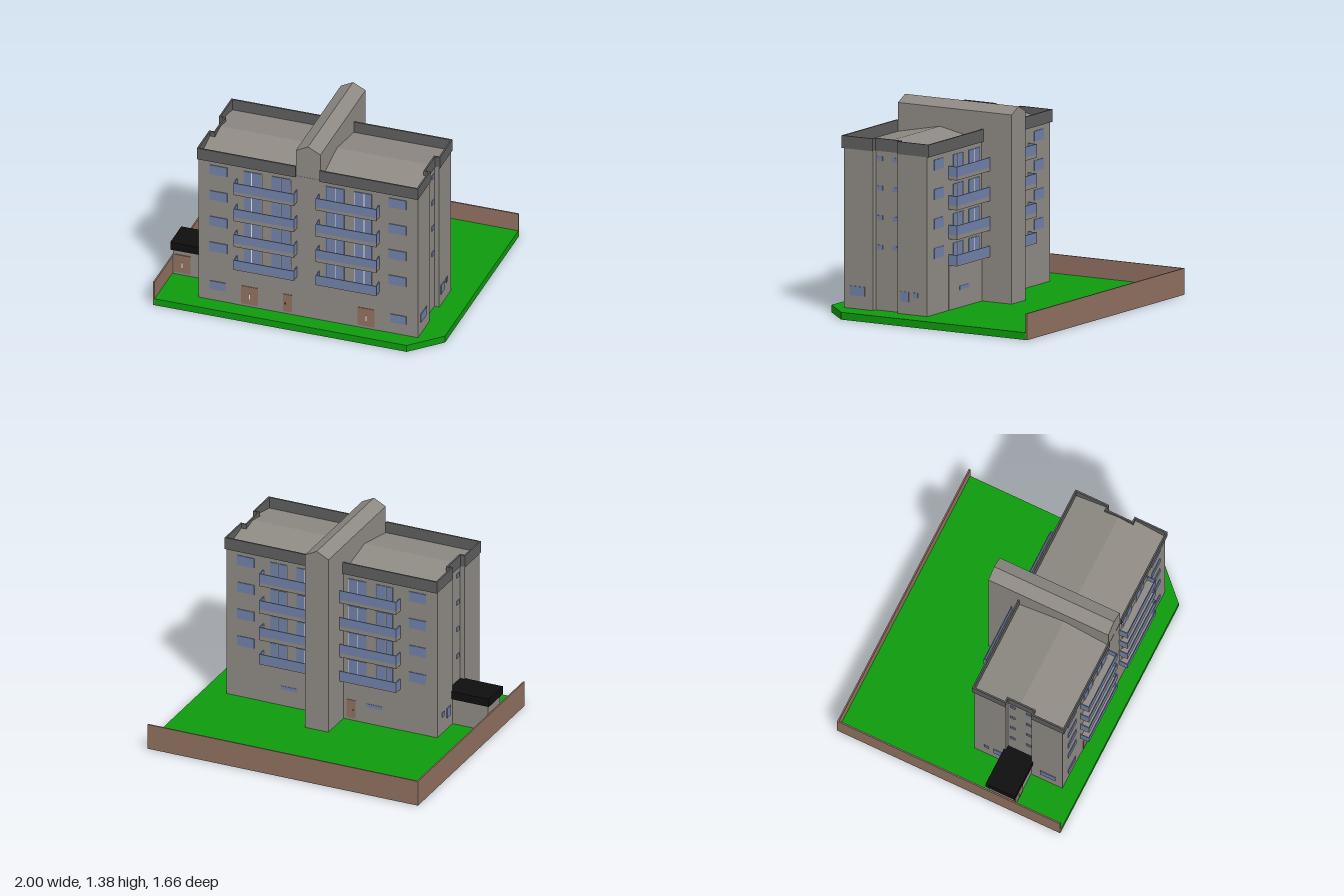
import * as THREE from 'three';

const mat = (name, color, side = THREE.FrontSide) => {
  const m = new THREE.MeshStandardMaterial({ color, side });
  m.name = name;
  return m;
};

export function createModel() {
  const M = {
    wall: mat('wall grey', 0x8e8983),
    parapet: mat('dark grey', 0x5e5e5e),
    brick: mat('brown', 0x8f7060),
    glass: mat('blue glass', 0x7080a8),
    grass: mat('green', 0x0f9b0f),
    black: mat('black', 0x0f0f0f),
    white: mat('white', 0xe8e8e8),
  };
  const model = new THREE.Group();
  model.name = 'apartmentBlock';

  const CX = 0.057;            // mirror plane of the building
  const BACK = 0.055, FRONT = 0.71;

  const add = (name, geo, m) => {
    const mesh = new THREE.Mesh(geo, m);
    mesh.name = name;
    model.add(mesh);
    return mesh;
  };
  // box given by its limits
  const box = (name, m, x0, x1, y0, y1, z0, z1) => {
    const g = new THREE.BoxGeometry(Math.abs(x1 - x0), y1 - y0, z1 - z0);
    g.translate((x0 + x1) / 2, (y0 + y1) / 2, (z0 + z1) / 2);
    return add(name, g, m);
  };
  // vertical prism over a list of [x, z] corners
  const prism = (name, m, pts, y0, y1) => {
    const s = new THREE.Shape(pts.map(([x, z]) => new THREE.Vector2(x, -z)));
    const g = new THREE.ExtrudeGeometry(s, { depth: y1 - y0, bevelEnabled: false });
    g.rotateX(-Math.PI / 2).translate(0, y0, 0);
    return add(name, g, m);
  };

  // plot of lawn with a cut corner, and boundary walls
  prism('lawn', M.grass, [[-0.99, -0.82], [1, -0.82], [1, 0.63], [0.8, 0.83], [-0.99, 0.83]], 0, 0.05);
  box('backBoundaryWall', M.brick, -1, 1, 0, 0.18, -0.83, -0.82);
  box('sideBoundaryWall', M.brick, -1, -0.99, 0, 0.18, -0.82, 0.83);

  // main body with a shallow notch in each end
  const N0 = 0.29, N1 = 0.48, W = 0.78, NW = 0.745;
  const end = (s, w, n, zb, zf, d = 0) => [
    [CX + s * w, zb], [CX + s * w, N0 - d], [CX + s * n, N0 - d],
    [CX + s * n, N1 + d], [CX + s * w, N1 + d], [CX + s * w, zf]];
  prism('body', M.wall,
    [...end(1, W, NW, BACK, FRONT), ...end(-1, W, NW, BACK, FRONT).reverse()], 0.05, 1.14);

  // shallow gabled roof, narrower between the notches
  const roofY = z => 1.205 - Math.abs(z - 0.383) * 0.2;
  const roofStrip = (zs, hw) => {
    const s = new THREE.Shape([
      new THREE.Vector2(-zs[0], 1.13),
      ...zs.map(z => new THREE.Vector2(-z, roofY(z))),
      new THREE.Vector2(-zs[zs.length - 1], 1.13)]);
    const g = new THREE.ExtrudeGeometry(s, { depth: 2 * hw, bevelEnabled: false });
    g.rotateY(Math.PI / 2).translate(CX - hw, 0, 0);
    add('roof', g, M.wall);
  };
  roofStrip([0.052, N0 - 0.012], W - 0.006);
  roofStrip([N0 - 0.012, 0.383, N1 + 0.012], NW - 0.006);
  roofStrip([N1 + 0.012, 0.713], W - 0.006);

  // parapet: one C-shaped band on either side of the spine
  for (const s of [-1, 1]) {
    const outer = end(s, W + 0.005, NW + 0.005, 0.04, 0.725);
    const inner = end(s, W - 0.006, NW - 0.006, 0.051, 0.714, 0.011);
    const x = CX + s * 0.086;
    prism('parapet', M.parapet,
      [[x, 0.04], ...outer, [x, 0.725], [x, 0.714], ...inner.reverse(), [x, 0.051]], 1.133, 1.218);
  }

  // tall central spine with a pointed top
  const spine = new THREE.Shape([[-0.03, 0.05], [0.145, 0.05], [0.145, 1.335], [CX, 1.38], [-0.03, 1.335]]
    .map(p => new THREE.Vector2(...p)));
  add('spine', new THREE.ExtrudeGeometry(spine, { depth: 0.892, bevelEnabled: false }).translate(0, 0, -0.18), M.wall);

  // thin plate on the front (f = 1) or back (f = -1) face
  const plate = (name, m, f, x0, x1, y0, y1, t = 0.005) => {
    const z = f > 0 ? FRONT : BACK;
    return box(name, m, x0, x1, y0, y1, Math.min(z, z + f * t), Math.max(z, z + f * t));
  };

  const slabY = [0.355, 0.535, 0.735, 0.938];
  const railY = [0.362, 0.565, 0.765, 0.963];
  for (const f of [1, -1]) {
    const wall = f > 0 ? FRONT : BACK;
    const out = wall + f * 0.065;
    const zr = (a, b) => [Math.min(a, b), Math.max(a, b)];
    for (const s of [-1, 1]) {
      const X = d => CX + s * d;
      // slightly raised ground floor panel below the balconies
      plate('groundPanel', M.wall, f, X(0.077), X(0.507), 0.05, 0.355, 0.002);
      for (let k = 0; k < 4; k++) {
        const top = 0.5 + 0.2 * k;
        // outer window
        plate('window', M.glass, f, X(0.573), X(0.697), top - 0.07, top);
        // tall balcony windows with white mullions
        for (const [a, b] of [[0.122, 0.257], [0.327, 0.452]]) {
          plate('balconyWindow', M.glass, f, X(a), X(b), slabY[k] + 0.01, top);
          for (const d of [a, a + 0.07])
            plate('mullion', M.white, f, X(d), X(d + 0.005), slabY[k] + 0.01, top, 0.008);
        }
        // balcony slab and glazed railing
        const r0 = railY[k], r1 = 0.43 + 0.2 * k;
        box('balconySlab', M.wall, X(0.077), X(0.507), slabY[k], r0, ...zr(wall, out));
        box('balconyFrontRail', M.glass, X(0.077), X(0.507), r0, r1, ...zr(out - f * 0.006, out));
        for (const d of [0.077, 0.501])
          box('balconySideRail', M.glass, X(d), X(d + 0.006), r0, r1, ...zr(wall, out - f * 0.006));
      }
    }
  }

  // ground floor front: windows and doors
  for (const s of [-1, 1])
    plate('groundWindow', M.glass, 1, CX + s * 0.585, CX + s * 0.697, 0.135, 0.198);
  for (const x of [-0.357, 0.47]) {
    plate('doubleDoor', M.brick, 1, x - 0.06, x + 0.06, 0.068, 0.205, 0.006);
    plate('doorHandle', M.white, 1, x - 0.003, x + 0.003, 0.11, 0.15, 0.009);
  }
  plate('door', M.brick, 1, -0.12, -0.055, 0.068, 0.2, 0.006);
  plate('doorHandle', M.black, 1, -0.108, -0.102, 0.125, 0.137, 0.01);

  // ground floor back: door and narrow windows
  plate('backDoor', M.brick, -1, -0.12, -0.055, 0.068, 0.2, 0.006);
  plate('doorHandle', M.black, -1, -0.108, -0.102, 0.125, 0.137, 0.01);
  plate('backWindow', M.glass, -1, -0.32, -0.2, 0.17, 0.195);
  plate('backWindow', M.glass, -1, 0.31, 0.43, 0.17, 0.195);

  // end walls: small windows in the notch, larger ones at ground level
  for (const s of [-1, 1]) {
    const sideWindow = (hw, z0, z1, y0, y1) =>
      box('sideWindow', M.glass, CX + s * hw, CX + s * (hw + 0.005), y0, y1, z0, z1);
    for (let k = 0; k < 4; k++)
      for (const z of [0.305, 0.425])
        sideWindow(NW, z, z + 0.04, 0.465 + 0.2 * k, 0.495 + 0.2 * k);
    sideWindow(W, 0.545, 0.66, 0.14, 0.203);
    sideWindow(W, 0.2, 0.262, 0.135, 0.203);
    sideWindow(W, 0.128, 0.165, 0.17, 0.203);
  }

  // garage lean-to with a black flat roof
  box('garage', M.wall, -0.985, -0.688, 0.05, 0.24, 0.292, 0.478);
  box('garageRoof', M.black, -1, -0.69, 0.24, 0.298, 0.275, 0.492);
  box('garageDoor', M.brick, -0.975, -0.86, 0.068, 0.205, 0.478, 0.484);
  box('doorHandle', M.white, -0.921, -0.915, 0.11, 0.15, 0.484, 0.487);

  return model;
}
